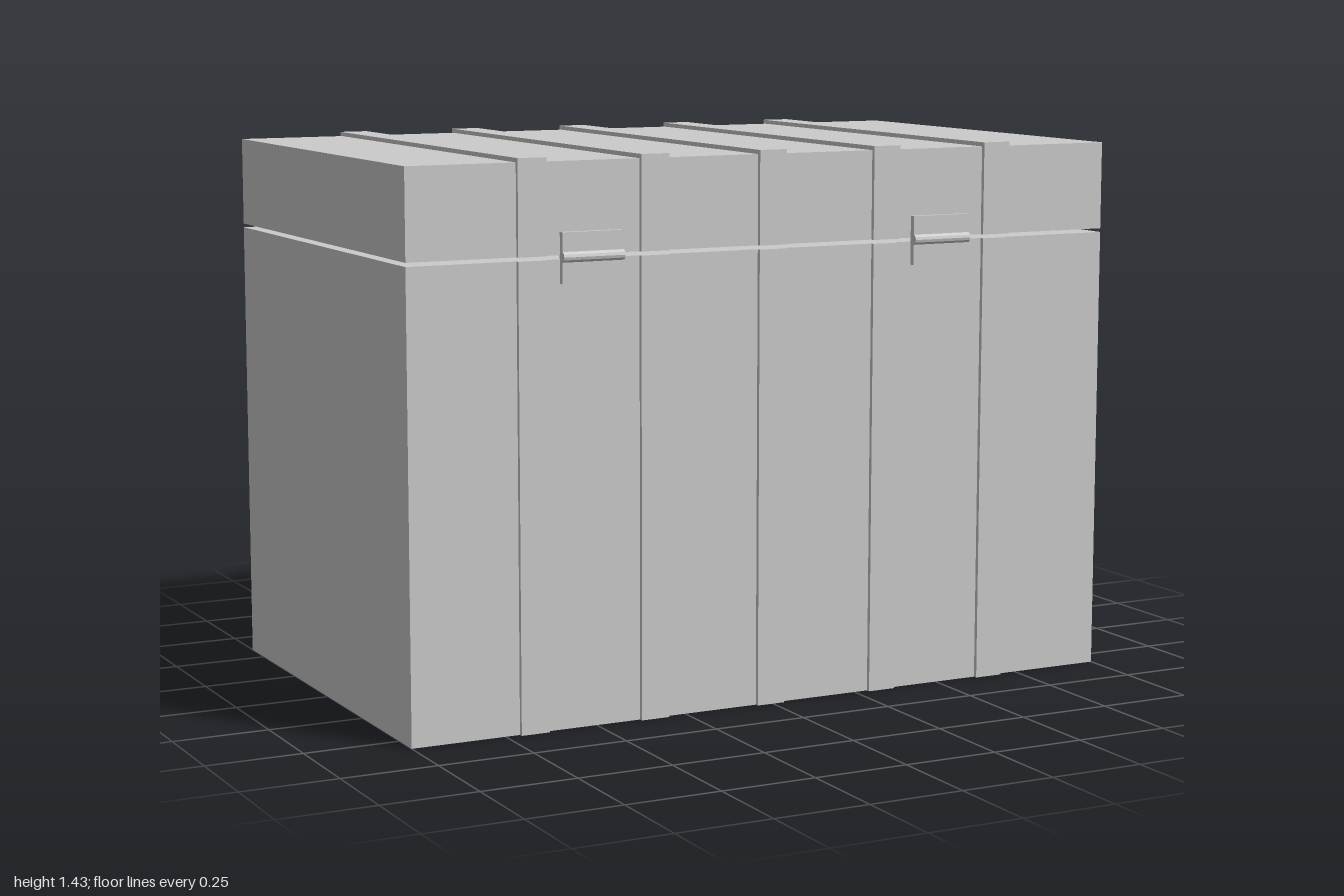
import * as THREE from 'three';

const material = new THREE.MeshStandardMaterial({ color: 0xcccccc, flatShading: true });

// Box given by its minimum and maximum corners
function box(parent, name, [x0, y0, z0], [x1, y1, z1]) {
  const mesh = new THREE.Mesh(new THREE.BoxGeometry(x1 - x0, y1 - y0, z1 - z0), material);
  mesh.position.set((x0 + x1) / 2, (y0 + y1) / 2, (z0 + z1) / 2);
  mesh.name = name;
  parent.add(mesh);
}

export function createModel() {
  const chest = new THREE.Group();
  chest.name = 'chest';

  const back = -0.595, front = 0.58, proud = 0.011;
  const bodyTop = 1.18, lidBottom = 1.19, lidTop = 1.42;

  // Body and lid, separated by a narrow gap
  box(chest, 'body', [-1, 0, back], [1, bodyTop, front]);
  box(chest, 'lid', [-1, lidBottom, back], [1, lidTop, front]);

  // Five straps running up the front and back and over the lid
  for (let i = 0; i < 5; i++) {
    const strap = new THREE.Group();
    strap.name = 'strap';
    const x0 = -0.711 + i * 0.333, x1 = x0 + 0.077;
    for (const [z0, z1] of [[back - proud, back], [front, front + proud]]) {
      box(strap, 'bodySlat', [x0, 0, z0], [x1, bodyTop, z1]);
      box(strap, 'lidSlat', [x0, lidBottom, z0], [x1, lidTop, z1]);
    }
    box(strap, 'topSlat', [x0, lidTop, back - proud], [x1, lidTop + proud, front + proud]);
    chest.add(strap);
  }

  // Two hinges: a leaf on the body, a leaf on the lid and a round barrel
  for (const x of [-0.512, 0.489]) {
    const hinge = new THREE.Group();
    hinge.name = 'hinge';
    const half = 0.083;
    box(hinge, 'lowerLeaf', [x - half, 1.12, front], [x + half, 1.183, front + 0.015]);
    box(hinge, 'upperLeaf', [x - half, 1.187, front], [x + half, 1.247, front + 0.015]);
    const barrel = new THREE.Mesh(new THREE.CylinderGeometry(0.014, 0.014, half * 2, 12), material);
    barrel.name = 'barrel';
    barrel.rotation.z = Math.PI / 2;
    barrel.position.set(x, 1.186, 0.592);
    hinge.add(barrel);
    chest.add(hinge);
  }
  return chest;
}
